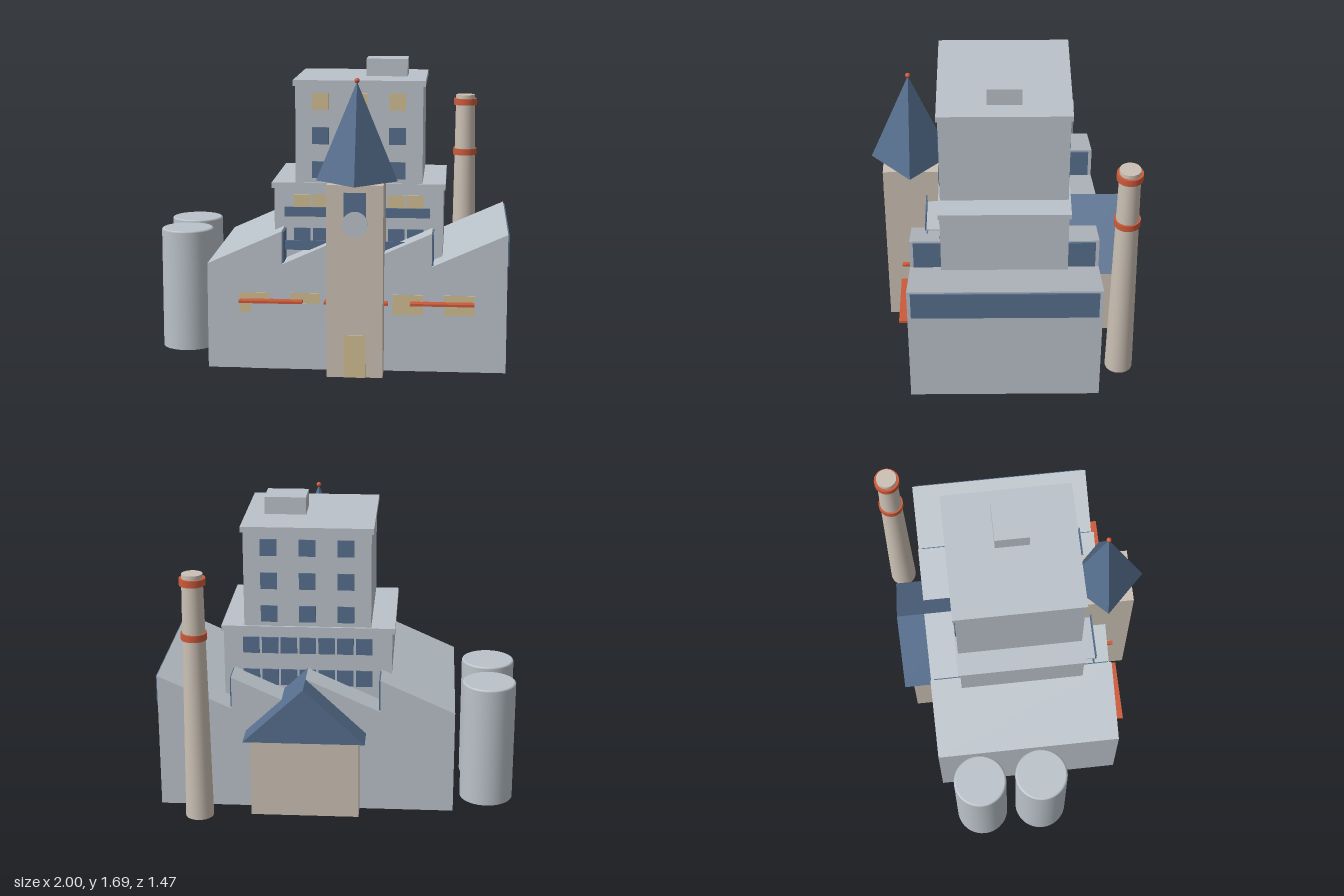
import * as THREE from 'three';

const mat = (name, color) => {
  const m = new THREE.MeshStandardMaterial({ color });
  m.name = name;
  return m;
};

export function createModel() {
  const root = new THREE.Group();
  root.name = 'factory';
  const wall = mat('pale grey wall', 0xbac2c9);
  const stone = mat('warm stone', 0xcbc0b4);
  const blue = mat('slate blue', 0x566f8e);
  const lit = mat('lit window yellow', 0xd0be92);
  const orange = mat('signal orange', 0xcc5a3a);

  const add = (name, geometry, material, x = 0, y = 0, z = 0) => {
    const mesh = new THREE.Mesh(geometry, material);
    mesh.name = name;
    mesh.position.set(x, y, z);
    root.add(mesh);
    return mesh;
  };
  // Box given by its lower and upper bounds on each axis
  const box = (name, material, [x0, x1], [y0, y1], [z0, z1]) =>
    add(name, new THREE.BoxGeometry(x1 - x0, y1 - y0, z1 - z0), material,
      (x0 + x1) / 2, (y0 + y1) / 2, (z0 + z1) / 2);
  // Triangle in the xy plane, extruded along z
  const prism = (name, material, points, z0, z1) => {
    const shape = new THREE.Shape(points.map(([x, y]) => new THREE.Vector2(x, y)));
    return add(name, new THREE.ExtrudeGeometry(shape, { depth: z1 - z0, bevelEnabled: false }), material, 0, 0, z0);
  };
  const midX = 0.165;

  // Main hall with a sawtooth roof, glazed on the steep sides
  box('hall', wall, [-0.66, 0.988], [0, 0.59], [-0.53, 0.523]);
  const pitch = 1.648 / 4;
  for (let i = 0; i < 4; i++) {
    const x0 = -0.66 + i * pitch, x1 = x0 + pitch;
    prism('sawtoothRoof', wall, [[x0, 0.59], [x1, 0.59], [x1, 0.775]], -0.53, 0.523);
    box('roofGlazing', blue, [x1, x1 + 0.009], [0.593, 0.765], [-0.51, 0.503]);
  }

  // Hall front: windows, canopies and a low wall panel
  for (let i = -2; i <= 2; i++) {
    const x = midX + i * 0.2825;
    box('hallWindow', lit, [x - 0.0825, x + 0.0825], [0.32, 0.432], [0.52, 0.527]);
  }
  for (let i = -1; i <= 1; i++) {
    const x = midX + i * 0.47;
    box('canopy', orange, [x - 0.175, x + 0.175], [0.383, 0.396], [0.52, 0.583]);
  }
  box('frontPanel', wall, [-0.42, 0.05], [0, 0.375], [0.515, 0.53]);

  // Stepped office block
  box('lowerBlock', wall, [-0.305, 0.633], [0.55, 0.99], [-0.355, 0.348]);
  box('lowerCornice', wall, [-0.32, 0.645], [0.988, 1.02], [-0.367, 0.358]);
  box('upperBlock', wall, [-0.187, 0.517], [1.02, 1.56], [-0.355, 0.348]);
  box('upperCornice', wall, [-0.2, 0.53], [1.557, 1.59], [-0.367, 0.358]);
  box('roofHousing', wall, [0.19, 0.422], [1.59, 1.688], [-0.1, 0.09]);

  // Office windows, front and back
  const windowPair = (x, y, frontMaterial) => {
    const xs = [x - 0.046, x + 0.046], ys = [y - 0.047, y + 0.047];
    box('frontWindow', frontMaterial, xs, ys, [0.347, 0.355]);
    box('backWindow', blue, xs, ys, [-0.362, -0.354]);
  };
  for (let row = 0; row < 3; row++)
    for (let col = -1; col <= 1; col++)
      windowPair(midX + col * 0.2125, 1.093 + row * 0.19, row === 2 ? lit : blue);
  for (let row = 0; row < 2; row++)
    for (let col = -3; col <= 3; col++)
      windowPair(midX + col * 0.105, 0.717 + row * 0.19, row === 1 ? lit : blue);

  // Balconies
  for (const y of [0.655, 0.843]) {
    box('balconyFloor', wall, [-0.24, 0.562], [y, y + 0.008], [0.348, 0.425]);
    box('balconyFront', blue, [-0.24, 0.562], [y, y + 0.053], [0.425, 0.432]);
  }

  // Entrance tower with a diamond-set spire
  const tz = 0.515;
  box('tower', stone, [0.011, 0.317], [0, 1.06], [tz - 0.153, tz + 0.153]);
  const spire = new THREE.ConeGeometry(0.222, 0.54, 4).toNonIndexed();
  spire.computeVertexNormals();
  add('spire', spire, blue, midX, 1.33, tz);
  add('finial', new THREE.SphereGeometry(0.014, 16, 12), orange, midX, 1.605, tz);
  box('towerWindow', blue, [0.105, 0.224], [0.87, 1.02], [0.667, 0.672]);
  const dial = add('towerDial', new THREE.CylinderGeometry(0.07, 0.07, 0.009, 32), wall, midX, 0.848, 0.6715);
  dial.rotation.x = Math.PI / 2;
  box('door', lit, [0.105, 0.224], [0, 0.235], [0.667, 0.674]);

  // Rear annex with a gabled roof running into the hall
  box('annex', stone, [-0.135, 0.465], [0, 0.47], [-0.64, -0.5]);
  prism('annexRoof', blue, [[-0.17, 0.46], [0.5, 0.46], [midX, 0.775]], -0.69, -0.34);

  // Storage silos with softened rims
  const siloProfile = [[0, 0], [0.15, 0], [0.15, 0], [0.15, 0.69], [0.147, 0.697], [0.14, 0.7], [0.14, 0.7], [0, 0.7]]
    .map(([r, y]) => new THREE.Vector2(r, y));
  for (const z of [-0.305, 0.047])
    add('silo', new THREE.LatheGeometry(siloProfile, 40), wall, -0.85, 0, z);

  // Tapered chimney with two bands
  add('chimney', new THREE.CylinderGeometry(0.057, 0.078, 1.413, 32), stone, 0.752, 0.7065, -0.655);
  for (const y of [1.065, 1.371])
    add('chimneyBand', new THREE.CylinderGeometry(0.071, 0.071, 0.038, 32), orange, 0.752, y, -0.655);

  return root;
}
